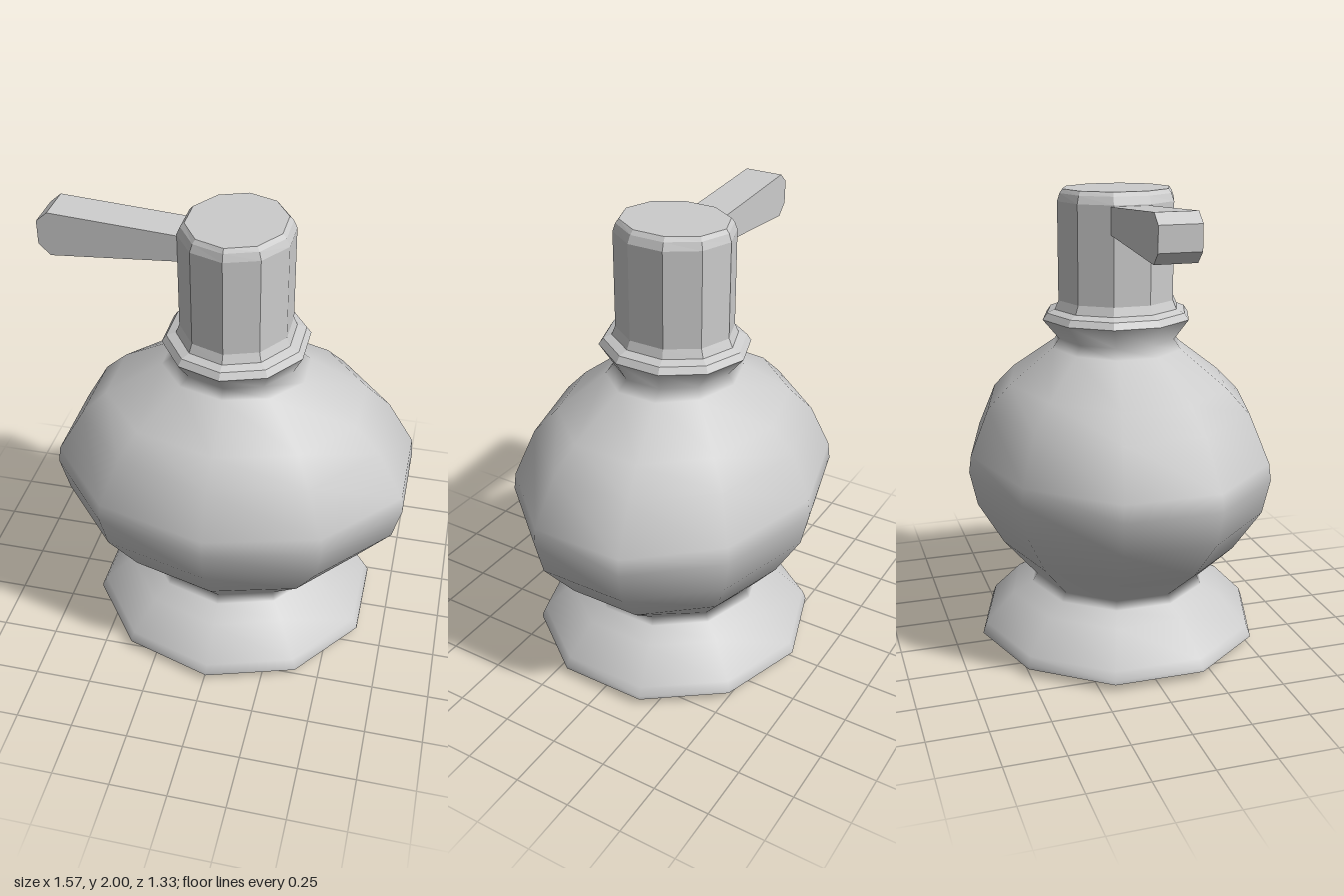
import * as THREE from 'three';
import { mergeVertices } from 'three/addons/utils/BufferGeometryUtils.js';

const SIDES = 10;
const AXIS_X = 0.012;

// Ten-sided oval lathe; each ring is [radius in x, radius in z, height], bottom to top
function ovalLathe(rings) {
  const points = rings.map(([, , y]) => new THREE.Vector2(1, y));
  const lathe = new THREE.LatheGeometry(points, SIDES);
  const pos = lathe.attributes.position;
  for (let i = 0; i < pos.count; i++) {
    const [rx, rz] = rings[i % rings.length];
    pos.setX(i, pos.getX(i) * rx);
    pos.setZ(i, pos.getZ(i) * rz);
  }
  lathe.deleteAttribute('normal');
  lathe.deleteAttribute('uv');
  const geometry = mergeVertices(lathe);
  geometry.computeVertexNormals();
  return geometry;
}

export function createModel() {
  const group = new THREE.Group();
  const smooth = new THREE.MeshStandardMaterial({ color: 0xcccccc });
  const faceted = new THREE.MeshStandardMaterial({ color: 0xcccccc, flatShading: true });

  const add = (name, geometry, material, x = 0) => {
    const mesh = new THREE.Mesh(geometry, material);
    mesh.name = name;
    mesh.position.x = x;
    group.add(mesh);
  };

  // Shallow underside
  add('underside', ovalLathe([[0, 0, 0], [0.655, 0.628, 0.034]]), smooth, AXIS_X);

  // Foot, waist, belly and neck in one smooth skin
  add('bottle', ovalLathe([
    [0.655, 0.628, 0.034],
    [0.653, 0.625, 0.05],
    [0.632, 0.612, 0.085],
    [0.502, 0.485, 0.215],
    [0.42, 0.395, 0.257],
    [0.404, 0.374, 0.294],
    [0.615, 0.52, 0.464],
    [0.772, 0.632, 0.654],
    [0.81, 0.665, 0.805],
    [0.802, 0.655, 0.88],
    [0.682, 0.575, 1.08],
    [0.571, 0.474, 1.184],
    [0.321, 0.285, 1.33],
    [0.27, 0.257, 1.37],
    [0.313, 0.327, 1.455],
  ]), smooth, AXIS_X);

  // Collar rim
  add('collar', ovalLathe([
    [0.313, 0.327, 1.455],
    [0.293, 0.308, 1.483],
    [0.252, 0.274, 1.497],
  ]), faceted, AXIS_X);

  // Pump cap with flared foot and chamfered top
  add('pumpCap', ovalLathe([
    [0.252, 0.274, 1.497],
    [0.237, 0.257, 1.535],
    [0.237, 0.257, 1.95],
    [0.222, 0.246, 1.983],
    [0.205, 0.234, 2.0],
    [0, 0, 2.0],
  ]), faceted, AXIS_X);

  // Flared spout with clipped tip
  const outline = new THREE.Shape([
    [-0.15, 1.835], [-0.15, 1.94], [-0.744, 1.983],
    [-0.792, 1.942], [-0.792, 1.841], [-0.744, 1.793],
  ].map(([x, y]) => new THREE.Vector2(x, y)));
  const spout = new THREE.ExtrudeGeometry(outline, { depth: 0.172, bevelEnabled: false });
  spout.translate(0, 0, -0.09);
  add('spout', spout, faceted);

  return group;
}
